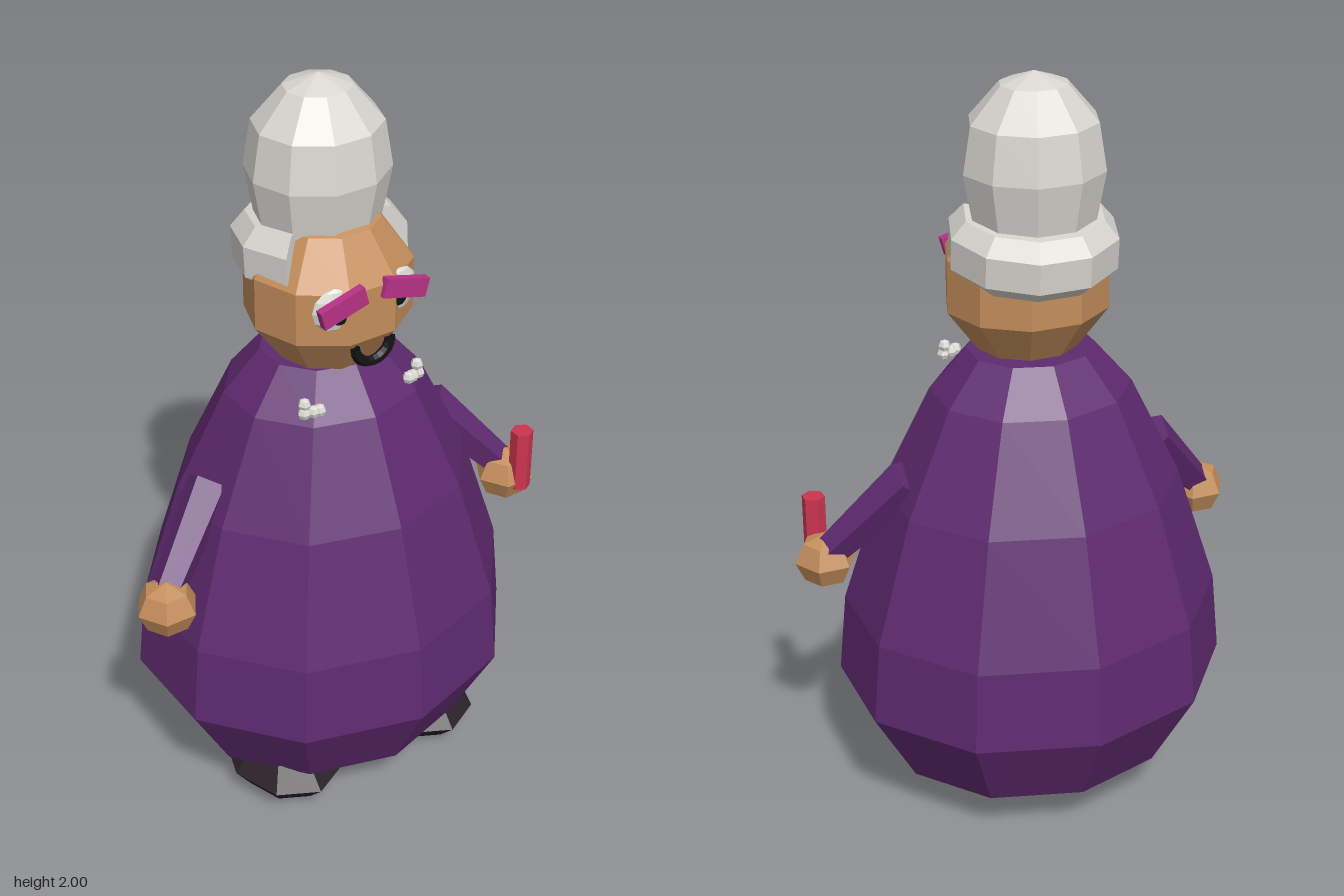
import * as THREE from 'three';

const mat = (color) => new THREE.MeshStandardMaterial({ color, flatShading: true, side: THREE.DoubleSide });

export function createModel() {
  const model = new THREE.Group();
  const purple = mat(0x5f2a70), skin = mat(0xc48e5c), hair = mat(0xd8d6d0), white = mat(0xdcdcd6);
  const black = mat(0x141214), shoe = mat(0x2b2229), pink = mat(0xb83286), red = mat(0xcc3550);

  const add = (name, geometry, material, x = 0, y = 0, z = 0, parent = model) => {
    const mesh = new THREE.Mesh(geometry, material);
    mesh.name = name;
    mesh.position.set(x, y, z);
    parent.add(mesh);
    return mesh;
  };
  const points = (list) => list.map(([x, y]) => new THREE.Vector2(x, y));
  const ball = (r, w, h, sx = 1, sy = 1, sz = 1) => new THREE.SphereGeometry(r, w, h).scale(sx, sy, sz);

  // Ten-sided gown, slightly flattened front to back
  const gown = points([[0, 0.13], [0.4, 0.13], [0.526, 0.35], [0.505, 0.57], [0.398, 0.9], [0.265, 1.17], [0.168, 1.28], [0, 1.28]]);
  add('gown', new THREE.LatheGeometry(gown, 10).scale(1, 1, 0.9), purple);

  // Head
  add('head', ball(0.226, 10, 5, 1, 1, 0.95), skin, 0, 1.46, 0.025);

  // Tall bun, turned so that a flat side faces front
  const bun = points([[0, 1.6], [0.155, 1.6], [0.185, 1.76], [0.165, 1.88], [0.087, 1.97], [0, 2]]);
  add('hairBun', new THREE.LatheGeometry(bun, 10, Math.PI / 10).scale(1, 1, 0.95), hair, 0, 0, -0.02);

  // Hair roll around the sides and back, open over the face
  const band = new THREE.Group();
  band.name = 'hairRoll';
  band.position.set(0, 1.56, -0.015);
  band.rotation.x = -0.08;
  model.add(band);
  const roll = points([[0.13, -0.075], [0.18, -0.075], [0.218, -0.04], [0.218, 0.04], [0.18, 0.083], [0.13, 0.083], [0.13, -0.075]]);
  const start = 0.3 * Math.PI;
  add('rollBody', new THREE.LatheGeometry(roll, 7, start, 1.4 * Math.PI), hair, 0, 0, 0, band);
  for (const phi of [start, -start]) {
    add('rollEnd', new THREE.ShapeGeometry(new THREE.Shape(roll)), hair, 0, 0, 0, band).rotation.y = phi - Math.PI / 2;
  }

  // Smiling mouth
  add('mouth', new THREE.TorusGeometry(0.052, 0.014, 6, 10, Math.PI), black, 0, 1.38, 0.22).rotation.z = Math.PI;

  // Paired parts
  for (const s of [-1, 1]) {
    const side = s > 0 ? 'left' : 'right';

    add(side + 'Eye', ball(0.058, 10, 6, 1, 1, 0.3), white, s * 0.095, 1.488, 0.194).rotation.y = s * 0.2;
    add(side + 'Pupil', ball(0.025, 8, 6, 1, 1, 0.35), black, s * 0.085, 1.475, 0.208);
    add(side + 'Eyebrow', new THREE.BoxGeometry(0.13, 0.05, 0.022), pink, s * 0.09, 1.508, 0.222).rotation.z = -s * 0.27;

    // Sleeve from shoulder to wrist
    const from = new THREE.Vector3(s * 0.34, 0.965, -0.005), to = new THREE.Vector3(s * 0.53, 0.75, 0.085);
    const sleeve = add(side + 'Sleeve', new THREE.CylinderGeometry(0.062, 0.045, from.distanceTo(to), 5), purple);
    sleeve.position.lerpVectors(from, to, 0.5);
    sleeve.quaternion.setFromUnitVectors(new THREE.Vector3(0, 1, 0), from.clone().sub(to).normalize());

    add(side + 'Hand', ball(0.083, 6, 4, 1, 0.9, 1), skin, s * 0.54, 0.72, 0.1);
    add(side + 'Shoe', ball(1, 8, 4, 0.152, 0.085, 0.188), shoe, s * 0.222, 0.085, 0.137);

    // Small pearls at the collar
    for (const [x, y, z] of [[0.17, 1.235, 0.175], [0.15, 1.213, 0.185], [0.173, 1.212, 0.178], [0.135, 1.215, 0.19]]) {
      add(side + 'Pearl', ball(0.017, 6, 4), white, s * x, y, z);
    }
  }

  // Red stick held in the left hand
  add('stick', new THREE.CylinderGeometry(0.031, 0.031, 0.18, 6), red, 0.55, 0.79, 0.155);

  return model;
}
